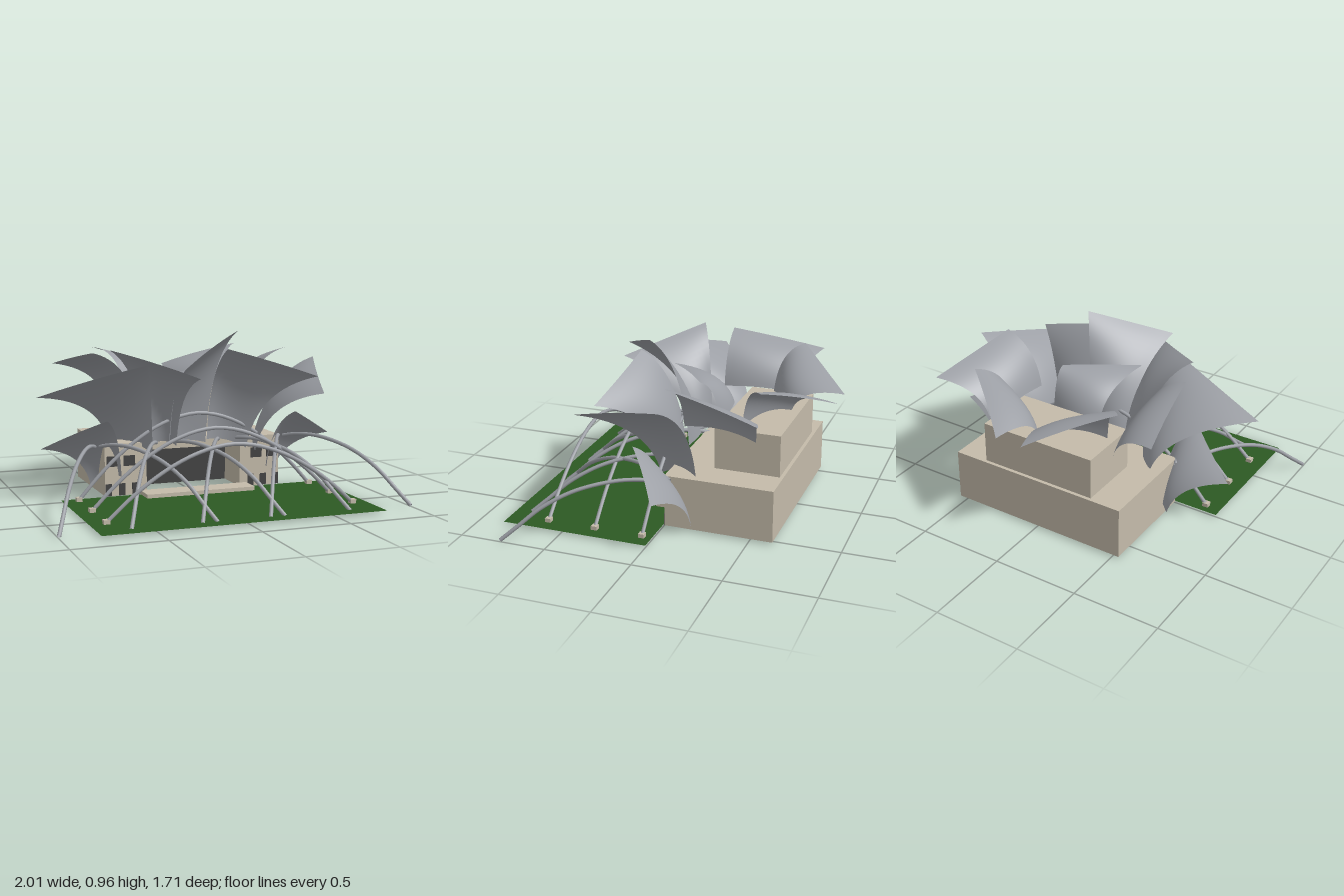
import * as THREE from 'three';

const mat = (name, color, side = THREE.FrontSide) => {
  const m = new THREE.MeshStandardMaterial({ color, side });
  m.name = name;
  return m;
};

export function createModel() {
  const group = new THREE.Group();
  const stone = mat('stone', 0xc4bbaa);
  const steel = mat('steel', 0x9c9fa5, THREE.DoubleSide);
  const grass = mat('grass', 0x2d5a23, THREE.DoubleSide);
  const dark = mat('dark glass', 0x424242, THREE.DoubleSide);

  const add = (name, geometry, material) => {
    const mesh = new THREE.Mesh(geometry, material);
    mesh.name = name;
    group.add(mesh);
    return mesh;
  };
  // Box given by its minimum and maximum corners
  const box = (name, x0, x1, y0, y1, z0, z1, material = stone) =>
    add(name, new THREE.BoxGeometry(x1 - x0, y1 - y0, z1 - z0), material)
      .position.set((x0 + x1) / 2, (y0 + y1) / 2, (z0 + z1) / 2);

  // Lawn
  const lawn = add('lawn', new THREE.PlaneGeometry(1.6, 0.85), grass);
  lawn.rotation.x = -Math.PI / 2;
  lawn.position.set(0, 0.014, 0.425);

  // Stage building with an open-bottomed recess
  box('backBlock', -0.29, 0.29, 0.015, 0.27, -0.63, -0.49);
  box('lowerRoof', -0.54, 0.54, 0.27, 0.315, -0.63, -0.01);
  box('upperBlock', -0.35, 0.35, 0.315, 0.555, -0.61, -0.235);
  box('stageApron', -0.33, 0.33, 0.015, 0.037, -0.01, 0.125);
  box('stageBackdrop', -0.29, 0.29, 0.015, 0.27, -0.258, -0.25, dark);
  box('stageCeiling', -0.29, 0.29, 0.262, 0.269, -0.49, -0.015, dark);
  for (const s of [-1, 1]) {
    const xs = (a, b) => (s > 0 ? [a, b] : [-b, -a]);
    box('wing', ...xs(0.29, 0.54), 0.015, 0.27, -0.63, -0.01);
    for (const x of [0.34, 0.42, 0.5])
      box('door', ...xs(x, x + 0.038), 0.016, 0.085, -0.011, -0.006, dark);
    for (const x of [0.36, 0.46])
      box('window', ...xs(x, x + 0.07), 0.185, 0.245, -0.011, -0.006, dark);
  }

  // Trellis: cross arches with footings
  const tube = (name, points) => add(name, new THREE.TubeGeometry(
    new THREE.CatmullRomCurve3(points), 32, 0.011, 8), steel);
  for (const [z, top] of [[0.615, 0.39], [0.335, 0.435], [0.055, 0.48]]) {
    const points = [];
    for (let i = 0; i <= 12; i++) {
      const t = i / 6 - 1;
      points.push(new THREE.Vector3(t * 0.71, 0.02 + (top - 0.02) * (1 - Math.abs(t) ** 1.85), z));
    }
    tube('crossArch', points);
    for (const x of [-0.71, 0.71])
      box('footing', x - 0.017, x + 0.017, 0.01, 0.037, z - 0.017, z + 0.017);
  }
  // Trellis: diagonal arches running back to the stage
  const rise = [[0.765, 0.01], [0.68, 0.085], [0.56, 0.19], [0.4, 0.278],
    [0.2, 0.325], [0.05, 0.322], [-0.05, 0.3]];
  for (const s of [-1, 1])
    for (const x of [-0.995, -0.62, -0.235, 0.15])
      tube('diagonalArch', rise.map(([z, y]) =>
        new THREE.Vector3(s * (x + 0.5 * (0.765 - z)), y, z)));

  // Curled sheet from a base edge (b0, b1) out to a tip edge (t0, t1)
  const sail = (name, b0, b1, t0, t1, lift = 0.02, bulge = 0.04) => {
    const V = (p) => new THREE.Vector3(...p);
    const rail = (b, t) => {
      const c = V(b).lerp(V(t), 0.15);
      c.y = b[1] + (t[1] - b[1]) * 0.75 + lift;
      return new THREE.QuadraticBezierCurve3(V(b), c, V(t));
    };
    const r0 = rail(b0, t0), r1 = rail(b1, t1);
    // Cross-section bows towards the upper, inner side
    const across = V(b1).add(V(t1)).sub(V(b0)).sub(V(t0));
    const along = V(t0).add(V(t1)).sub(V(b0)).sub(V(b1));
    const normal = across.cross(along).normalize();
    if (normal.y < 0) normal.negate();
    const geometry = new THREE.PlaneGeometry(1, 1, 12, 16);
    const pos = geometry.attributes.position;
    for (let i = 0; i < pos.count; i++) {
      const v = pos.getX(i) + 0.5, u = pos.getY(i) + 0.5;
      const p = r0.getPoint(u).lerp(r1.getPoint(u), v);
      p.addScaledVector(normal, bulge * 4 * v * (1 - v) * (1 - 0.75 * u));
      pos.setXYZ(i, p.x, p.y, p.z);
    }
    geometry.computeVertexNormals();
    add(name, geometry, steel);
  };

  // Front sails
  sail('farRightSail', [-0.47, 0.31, -0.19], [-0.28, 0.26, 0.07], [-0.96, 0.62, 0.13], [-0.38, 0.79, 0.29]);
  sail('rightSail', [-0.3, 0.3, 0], [-0.14, 0.3, 0.08], [-0.545, 0.865, 0.13], [-0.15, 0.73, 0.51]);
  sail('centreSail', [-0.17, 0.3, 0.04], [0.06, 0.3, 0.02], [-0.21, 0.8, 0.5], [0.19, 0.96, 0.2]);
  sail('leftSail', [0.06, 0.32, 0.04], [0.3, 0.26, 0.06], [0.09, 0.865, 0.295], [0.615, 0.7, 0.36]);
  sail('farLeftSail', [0.35, 0.24, 0.08], [0.5, 0.31, -0.18], [0.585, 0.62, 0.5], [0.785, 0.77, -0.06]);
  sail('innerSail', [-0.14, 0.53, -0.19], [0.165, 0.5, -0.2], [-0.18, 0.71, 0.2], [0.175, 0.74, -0.09], 0.05);

  // Mirrored low, side and back sails
  for (const s of [-1, 1]) {
    const m = (x, y, z) => [s * x, y, z];
    sail('lowSail', m(0.45, 0.13, 0.02), m(0.58, 0.055, -0.18), m(0.57, 0.475, 0.16), m(0.895, 0.3, -0.07));
    sail('sideSail', m(0.35, 0.54, -0.06), m(0.41, 0.525, -0.49), m(0.595, 0.835, -0.04), m(0.7, 0.73, -0.585), 0.02, 0.03);
    sail('backSail', m(0.31, 0.56, -0.38), m(0.01, 0.58, -0.575), m(0.465, 0.825, -0.525), m(0.08, 0.675, -0.855), 0.06);
  }
  return group;
}
